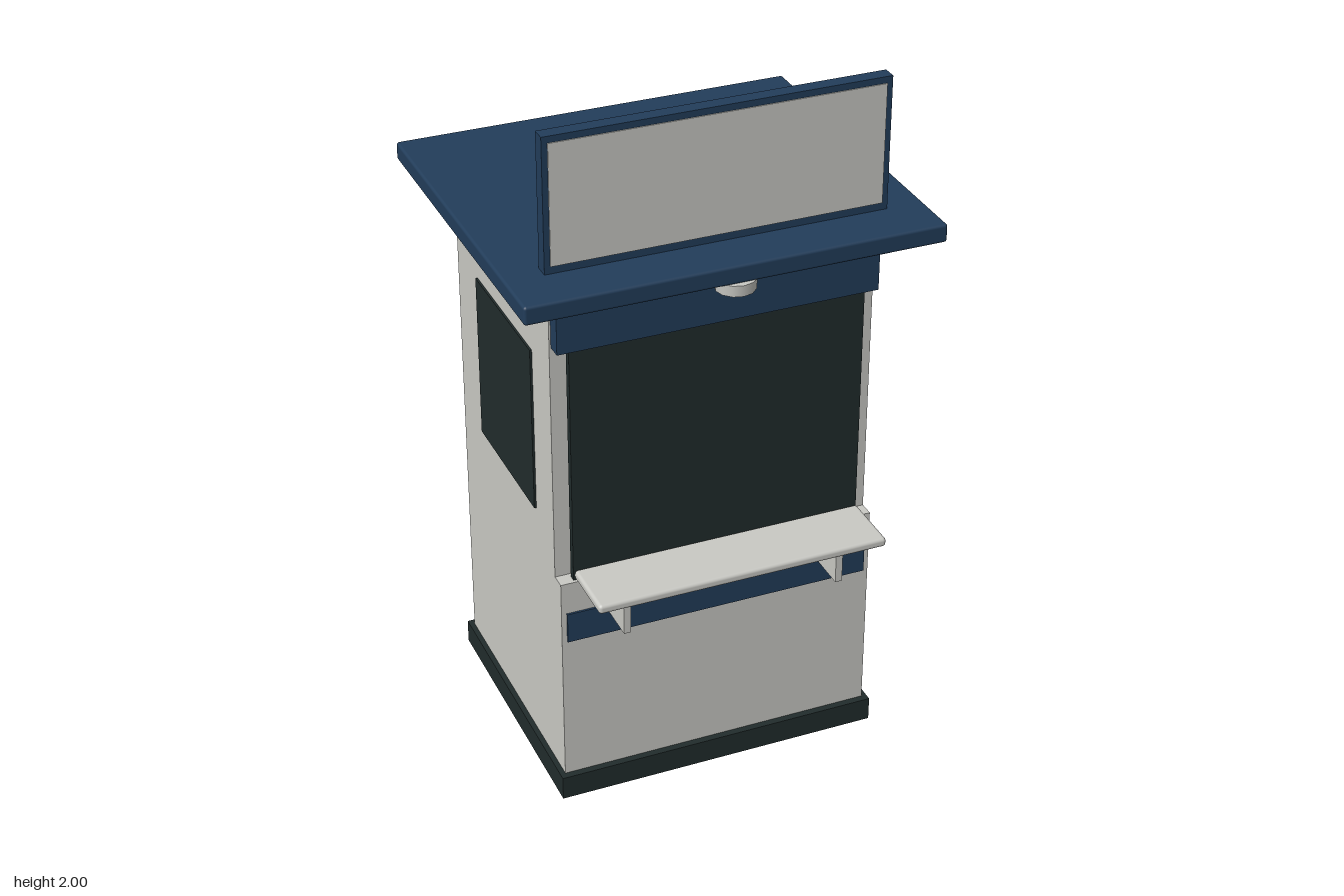
import * as THREE from 'three';
import { RoundedBoxGeometry } from 'three/addons/geometries/RoundedBoxGeometry.js';

function material(name, color) {
  const m = new THREE.MeshStandardMaterial({ color });
  m.name = name;
  return m;
}

export function createModel() {
  const group = new THREE.Group();
  group.name = 'kiosk';
  const navy = material('navy', 0x223d5a);
  const pale = material('pale grey', 0xc9c9c4);
  const dark = material('dark green grey', 0x212c2c);

  const add = (name, geometry, mat) => {
    const mesh = new THREE.Mesh(geometry, mat);
    mesh.name = name;
    group.add(mesh);
    return mesh;
  };
  // Box given by its extents along each axis; a radius rounds its edges
  const box = (name, mat, [x0, x1], [y0, y1], [z0, z1], radius = 0) => {
    const size = [x1 - x0, y1 - y0, z1 - z0];
    const geometry = radius
      ? new RoundedBoxGeometry(...size, 2, radius)
      : new THREE.BoxGeometry(...size);
    geometry.translate((x0 + x1) / 2, (y0 + y1) / 2, (z0 + z1) / 2);
    return add(name, geometry, mat);
  };

  // Plinth
  box('plinth', dark, [-0.47, 0.47], [0, 0.07], [-0.43, 0.375]);

  // Walls: side profile with a step at counter height
  const profile = new THREE.Shape([
    [-0.41, 0.07], [0.355, 0.07], [0.355, 0.7], [0.312, 0.7], [0.312, 1.58], [-0.41, 1.58],
  ].map(([z, y]) => new THREE.Vector2(z, y)));
  const walls = new THREE.ExtrudeGeometry(profile, { depth: 0.91, bevelEnabled: false });
  walls.translate(0, 0, -0.455).rotateY(-Math.PI / 2);
  add('walls', walls, pale);

  // Front: serving shutter, fascia and stripe
  box('servingShutter', dark, [-0.415, 0.415], [0.7, 1.4], [0.325, 0.345]);
  box('fascia', navy, [-0.45, 0.45], [1.4, 1.576], [0.312, 0.355]);
  box('frontStripe', navy, [-0.44, 0.44], [0.515, 0.605], [0.354, 0.361]);

  // Counter on two brackets
  box('counter', pale, [-0.415, 0.415], [0.71, 0.737], [0.35, 0.535], 0.01);
  for (const side of [-1, 1]) {
    const x = side * 0.31;
    box('counterBracket', pale, [x - 0.01, x + 0.01], [0.58, 0.712], [0.355, 0.466]);
  }

  // Door with handle on the left, window on the right
  box('door', navy, [0.454, 0.46], [0.07, 1.356], [-0.328, 0.165]);
  box('doorHandle', pale, [0.458, 0.473], [0.725, 0.747], [0.077, 0.15]);
  box('sideWindow', dark, [-0.461, -0.454], [0.84, 1.325], [-0.245, 0.18]);

  // Roof and the lamp under its front edge
  box('roof', navy, [-0.577, 0.577], [1.574, 1.626], [-0.535, 0.48], 0.008);
  const lamp = add('lamp', new THREE.CylinderGeometry(0.056, 0.054, 0.032, 12), pale);
  lamp.position.set(0, 1.56, 0.44);

  // Roof sign with face panel and rear posts
  box('signBoard', navy, [-0.472, 0.472], [1.625, 2], [0.3, 0.34]);
  box('signPanel', pale, [-0.456, 0.456], [1.647, 1.982], [0.339, 0.343]);
  for (const side of [-1, 1]) {
    const x = side * 0.348;
    box('signPost', pale, [x - 0.013, x + 0.013], [1.624, 1.93], [0.245, 0.301]);
  }
  return group;
}
